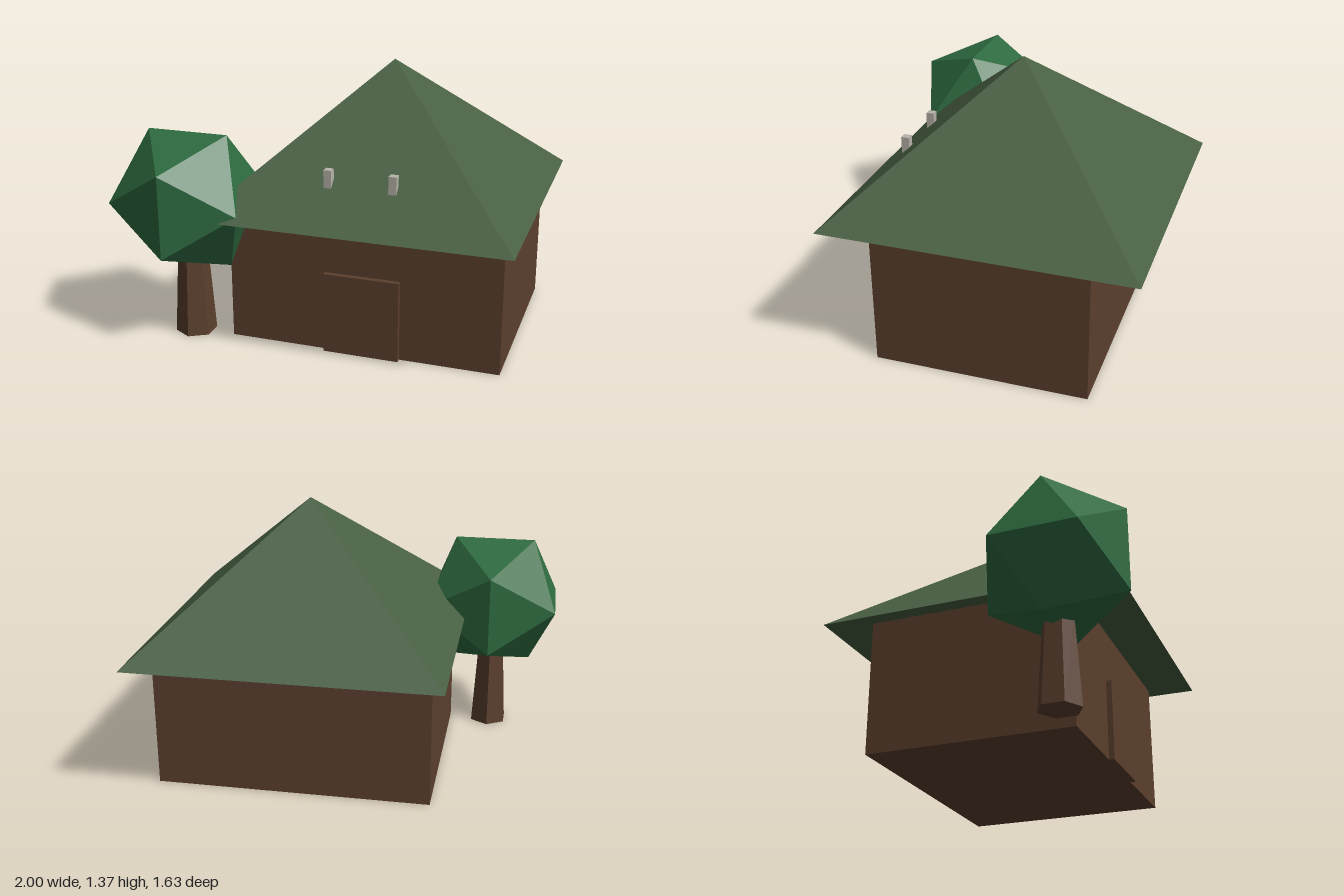
import * as THREE from 'three';

const material = (name, color) => {
  const m = new THREE.MeshStandardMaterial({ color, flatShading: true });
  m.name = name;
  return m;
};

export function createModel() {
  const model = new THREE.Group();
  model.name = 'cottageWithTree';

  const wood = material('brown wood', 0x5c402e);
  const roofGreen = material('roof green', 0x486043);
  const leafGreen = material('leaf green', 0x2e6b40);
  const stone = material('pale stone', 0xb8b4aa);

  const add = (parent, name, geometry, mat, x, y, z) => {
    const mesh = new THREE.Mesh(geometry, mat);
    mesh.name = name;
    mesh.position.set(x, y, z);
    parent.add(mesh);
    return mesh;
  };

  // House: walls, door slab and pyramid roof
  const house = new THREE.Group();
  house.name = 'house';
  house.position.set(0.233, 0, -0.05);
  model.add(house);

  add(house, 'walls', new THREE.BoxGeometry(1.37, 0.69, 1.055), wood, 0, 0.345, 0);
  add(house, 'door', new THREE.BoxGeometry(0.38, 0.412, 0.05), wood, 0, 0.206, 0.53);

  const roofHalf = 0.765;
  const roofShape = new THREE.ConeGeometry(roofHalf * Math.SQRT2, 0.68, 4).rotateY(Math.PI / 4);
  add(house, 'roof', roofShape, roofGreen, 0, 1.03, 0);

  // Pair of small chimneys on the front slope
  for (const [name, side] of [['rightChimney', -1], ['leftChimney', 1]]) {
    add(house, name, new THREE.BoxGeometry(0.038, 0.112, 0.04), stone, side * 0.158, 0.891, 0.554);
  }

  // Tree: six-sided tapering trunk and faceted crown
  const tree = new THREE.Group();
  tree.name = 'tree';
  tree.position.set(-0.663, 0, 0.473);
  model.add(tree);

  add(tree, 'trunk', new THREE.CylinderGeometry(0.074, 0.104, 0.46, 6), wood, 0, 0.23, 0);
  add(tree, 'crown', new THREE.IcosahedronGeometry(0.397, 0), leafGreen, 0, 0.718, 0);

  return model;
}
